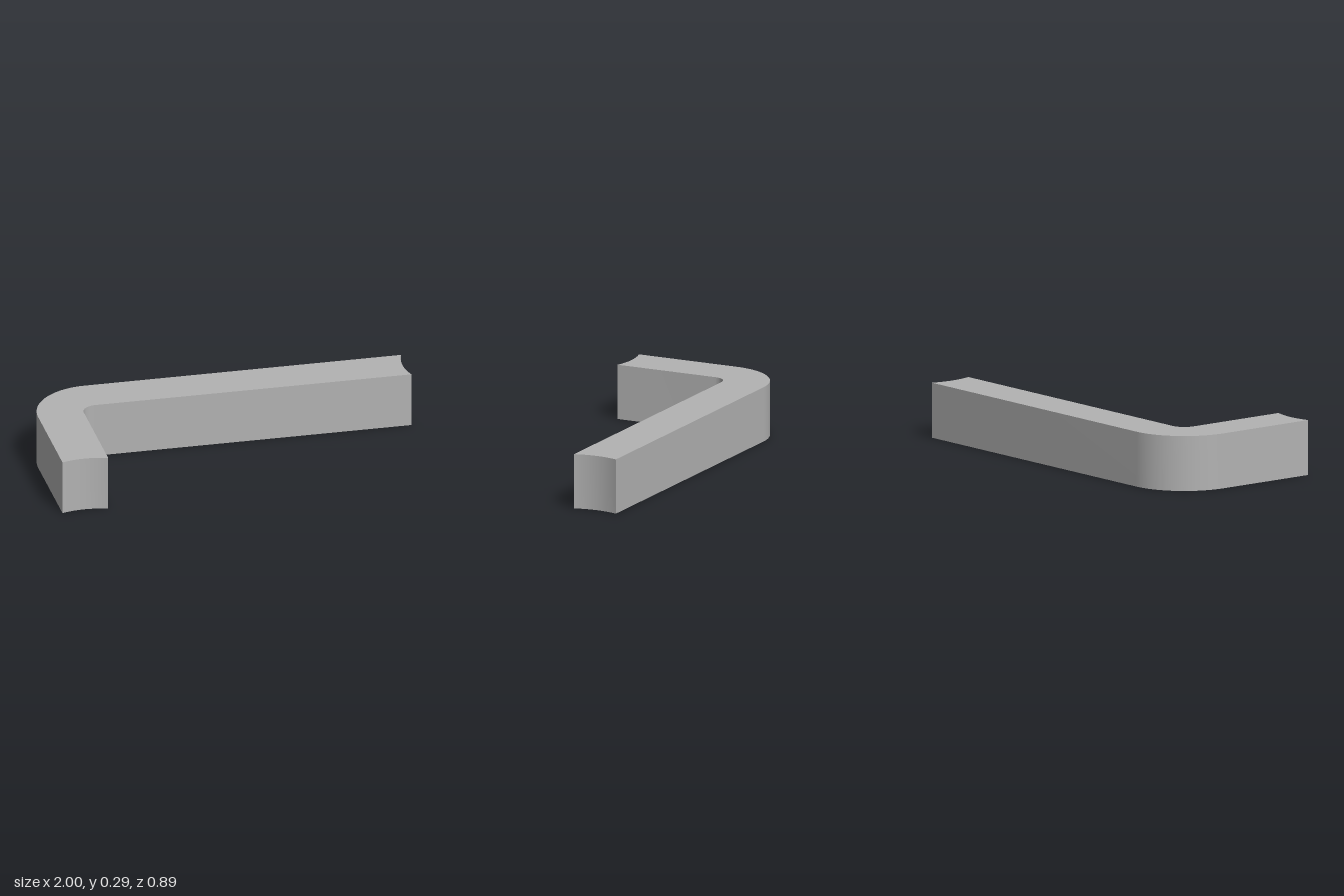
import * as THREE from 'three';
import { toCreasedNormals } from 'three/addons/utils/BufferGeometryUtils.js';

export function createModel() {
  const group = new THREE.Group();
  group.name = 'angledBar';
  const grey = new THREE.MeshStandardMaterial({ color: 0xb2b2b2 });
  grey.name = 'grey';

  const back = 0.443, width = 0.243, height = 0.29, dip = 0.02;
  const outerR = 0.32, innerR = outerR - width;
  const cx = -1 + outerR, cy = back - outerR; // centre of the bend
  const half = width / 2;

  // Plan outline, with the shape's y pointing to the back
  const plan = new THREE.Shape();
  plan.moveTo(-1, -back);
  // hollow end of the short arm
  plan.quadraticCurveTo(-1 + half, -back + 2 * dip, -1 + width, -back);
  // inside of the bend
  plan.lineTo(-1 + width, cy);
  plan.absarc(cx, cy, innerR, Math.PI, Math.PI / 2, true);
  plan.lineTo(1, back - width);
  // hollow end of the long arm
  plan.quadraticCurveTo(1 - 2 * dip, back - half, 1, back);
  // outside of the bend
  plan.lineTo(cx, back);
  plan.absarc(cx, cy, outerR, Math.PI / 2, Math.PI, false);
  plan.closePath();

  // Raise the outline to the bar's height
  const geometry = new THREE.ExtrudeGeometry(plan, { depth: height, bevelEnabled: false, curveSegments: 24 });
  geometry.rotateX(-Math.PI / 2);
  const bar = new THREE.Mesh(toCreasedNormals(geometry, 0.5), grey);
  bar.name = 'bentBar';
  group.add(bar);
  return group;
}
